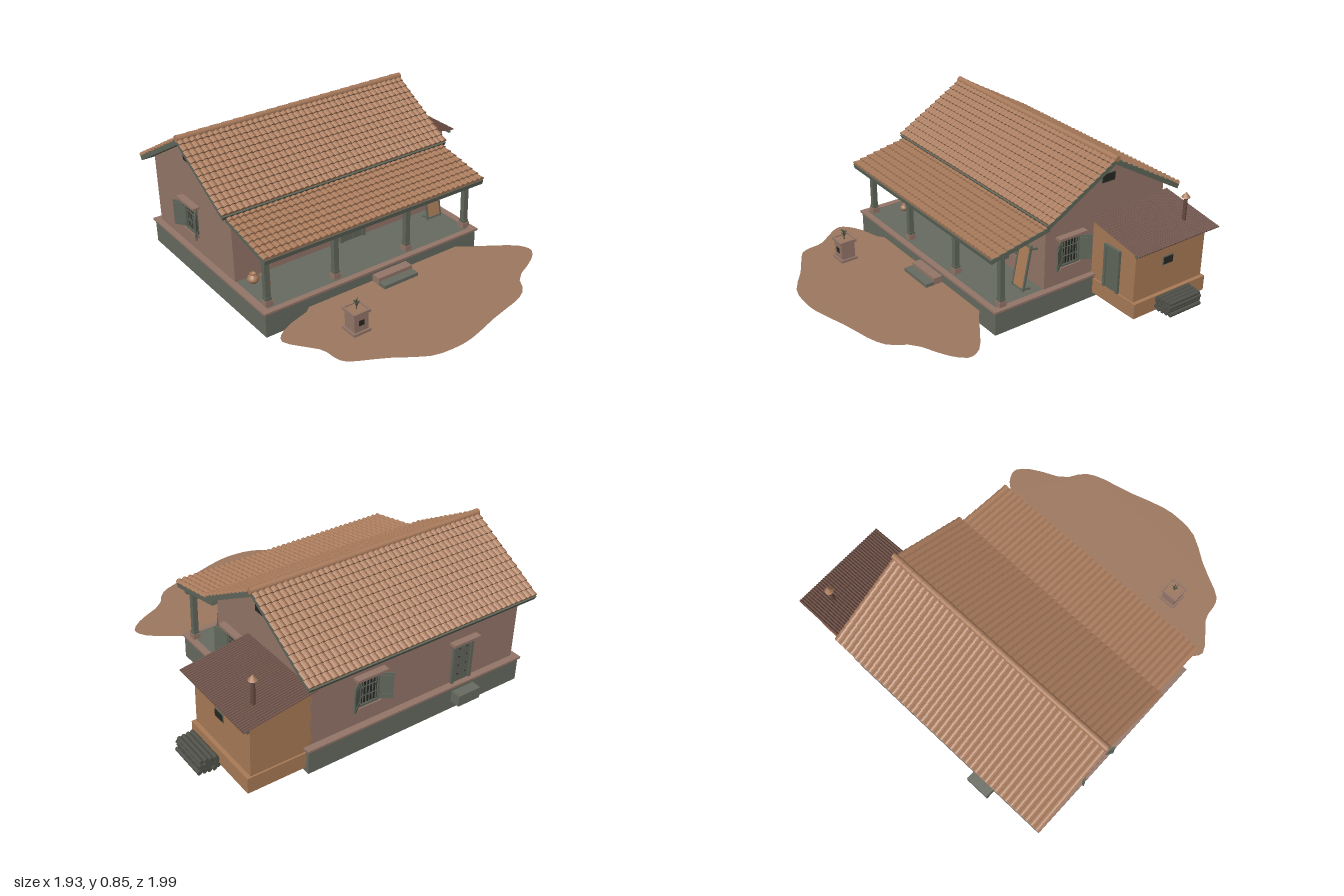
import * as THREE from 'three';

const V = (x, y, z) => new THREE.Vector3(x, y, z);
const material = (name, color, side = THREE.FrontSide) => {
  const m = new THREE.MeshStandardMaterial({ color, side });
  m.name = name;
  return m;
};

export function createModel() {
  const clay = material('clay plaster', 0x937568);
  const ochre = material('ochre plaster', 0xa87a56);
  const stone = material('grey stone', 0x666a5f);
  const wood = material('weathered wood', 0x60665a);
  const tile = material('terracotta', 0xa87a5b, THREE.DoubleSide);
  const earth = material('bare earth', 0x9c775e, THREE.DoubleSide);
  const iron = material('dark iron', 0x262723);
  const sheetMetal = material('rusted sheet', 0x66493f, THREE.DoubleSide);
  const bark = material('firewood bark', 0x50524a);
  const leaf = material('leaf', 0x4b5440, THREE.DoubleSide);

  const model = new THREE.Group();
  const add = (name, geo, mat, parent = model) => {
    const m = new THREE.Mesh(geo, mat);
    m.name = name;
    parent.add(m);
    return m;
  };
  const group = (name, x = 0, y = 0, z = 0, ry = 0) => {
    const g = new THREE.Group();
    g.name = name;
    g.position.set(x, y, z);
    g.rotation.y = ry;
    model.add(g);
    return g;
  };
  // Box given by its min and max on each axis
  const box = (name, x0, x1, y0, y1, z0, z1, mat, parent) => {
    const m = add(name, new THREE.BoxGeometry(x1 - x0, y1 - y0, z1 - z0), mat, parent);
    m.position.set((x0 + x1) / 2, (y0 + y1) / 2, (z0 + z1) / 2);
    return m;
  };
  // Square bar between two points
  const bar = (name, a, b, t, mat, parent) => {
    const m = add(name, new THREE.BoxGeometry(t, a.distanceTo(b), t), mat, parent);
    m.position.copy(a).lerp(b, 0.5);
    m.quaternion.setFromUnitVectors(V(0, 1, 0), b.clone().sub(a).normalize());
    return m;
  };
  // Ribbed sheet in overlapping courses
  const ribbed = (name, origin, across, down, cols, rows, amp, lift, seg, mat) => {
    const n = across.clone().cross(down).normalize();
    const flip = n.y < 0;
    if (flip) n.negate();
    const pos = [], idx = [], w = cols * seg + 1;
    for (let r = 0; r <= 2 * rows; r++) {
      const last = r === 2 * rows;
      const t = Math.ceil(r / 2) / rows;
      for (let i = 0; i < w; i++) {
        const wave = amp * Math.abs(Math.sin((i / seg) * Math.PI));
        const h = last ? 0 : wave + (r % 2 ? lift : 0);
        const p = origin.clone().addScaledVector(across, i / (w - 1)).addScaledVector(down, t).addScaledVector(n, h);
        pos.push(p.x, p.y, p.z);
        if (r && i) {
          const d = r * w + i, c = d - 1, b = d - w, a = b - 1;
          if (flip) idx.push(a, c, b, b, c, d);
          else idx.push(a, b, c, b, d, c);
        }
      }
    }
    let g = new THREE.BufferGeometry();
    g.setAttribute('position', new THREE.Float32BufferAttribute(pos, 3));
    g.setIndex(idx);
    g = g.toNonIndexed();
    g.computeVertexNormals();
    add(name, g, mat);
  };

  // Plinth, floor and coping
  box('plinth', -0.935, 0.465, 0, 0.14, -0.94, 0.27, stone);
  box('floor', -0.91, 0.44, 0.14, 0.147, -0.91, 0.245, stone);
  box('frontCoping', -0.945, 0.475, 0.138, 0.15, 0.245, 0.28, clay);
  box('backCoping', -0.945, 0.475, 0.138, 0.15, -0.95, -0.9, clay);
  for (const x of [-0.945, 0.435]) box('sideCoping', x, x + 0.04, 0.138, 0.15, -0.9, 0.245, clay);

  // House walls with gables, profile runs across z
  const profile = new THREE.Shape([[0.07, 0.147], [0.91, 0.147], [0.91, 0.56], [0.49, 0.805], [0.07, 0.56]].map(p => new THREE.Vector2(...p)));
  const walls = add('walls', new THREE.ExtrudeGeometry(profile, { depth: 1.35, bevelEnabled: false }), clay);
  walls.rotation.y = Math.PI / 2;
  walls.position.x = -0.91;

  // Tiled roofs: each slope has a timber deck under the tiles
  const slope = (name, x0, x1, zt, yt, ze, ye, cols, rows) => {
    const dz = ze - zt, dy = ye - yt, s = Math.sign(dz), len = Math.hypot(dz, dy);
    const deck = add(name + 'Deck', new THREE.BoxGeometry(x1 - x0 - 0.01, 0.026, len), wood);
    deck.position.set((x0 + x1) / 2, (yt + ye) / 2 - 0.016, (zt + ze) / 2);
    deck.rotation.x = -Math.atan2(dy * s, dz * s);
    ribbed(name + 'Tiles', V(x0, yt, zt), V(x1 - x0, 0, 0), V(0, dy, dz), cols, rows, 0.01, 0.01, 4, tile);
  };
  slope('frontRoof', -0.97, 0.5, -0.49, 0.83, -0.045, 0.572, 42, 12);
  slope('backRoof', -0.97, 0.5, -0.49, 0.83, -0.975, 0.55, 42, 12);
  slope('porchRoof', -0.945, 0.48, -0.07, 0.55, 0.305, 0.476, 41, 8);
  for (let i = 0; i < 21; i++) {
    const cap = add('ridgeTile', new THREE.CylinderGeometry(0.02, 0.017, 0.072, 12), tile);
    cap.rotation.z = Math.PI / 2;
    cap.position.set(-0.934 + i * 0.0702, 0.834, -0.49);
  }

  // Porch posts, braces and beam
  box('porchBeam', -0.93, 0.475, 0.452, 0.476, 0.195, 0.225, wood);
  const postX = [-0.885, -0.465, 0.01, 0.43];
  postX.forEach((x, i) => {
    const g = group('porchPost', x, 0, 0.21);
    box('post', -0.015, 0.015, 0.15, 0.455, -0.015, 0.015, wood, g);
    box('postBase', -0.022, 0.022, 0.148, 0.18, -0.022, 0.022, clay, g);
    box('postCollar', -0.018, 0.018, 0.18, 0.195, -0.018, 0.018, wood, g);
    box('capital', -0.025, 0.025, 0.438, 0.454, -0.02, 0.02, wood, g);
    for (const s of [-1, 1]) {
      if ((i === 0 && s < 0) || (i === 3 && s > 0)) continue;
      bar('brace', V(0, 0.385, 0), V(s * 0.07, 0.455, 0), 0.014, wood, g);
    }
    bar('rafter', V(0, 0.462, 0.08), V(0, 0.527, -0.28), 0.016, wood, g);
  });

  // Windows with bars, lintel, sill and open shutters
  const windowAt = (x, z, ry) => {
    const g = group('window', x, 0.345, z, ry);
    box('darkOpening', -0.055, 0.055, -0.075, 0.075, 0, 0.005, iron, g);
    for (const s of [-1, 1]) {
      box('jamb', s * 0.058 - 0.006, s * 0.058 + 0.006, -0.08, 0.08, 0, 0.014, wood, g);
      box('rail', -0.06, 0.06, s * 0.078 - 0.006, s * 0.078 + 0.006, 0, 0.014, wood, g);
      const hinge = new THREE.Group();
      hinge.name = 'shutter';
      hinge.position.set(s * 0.06, 0, 0.008);
      hinge.rotation.y = -s * 0.6;
      g.add(hinge);
      const a = Math.min(0, s * 0.074), b = Math.max(0, s * 0.074);
      box('shutterLeaf', a, b, -0.076, 0.076, -0.004, 0.004, wood, hinge);
      for (const y of [-0.055, 0.055]) box('shutterBatten', a + 0.006, b - 0.006, y - 0.007, y + 0.007, -0.007, 0.007, wood, hinge);
    }
    for (let i = -2; i <= 2; i++) box('windowBar', i * 0.02 - 0.0025, i * 0.02 + 0.0025, -0.075, 0.075, 0.008, 0.012, wood, g);
    for (const y of [-0.025, 0.03]) box('crossBar', -0.055, 0.055, y - 0.002, y + 0.002, 0.006, 0.01, wood, g);
    box('lintel', -0.095, 0.095, 0.09, 0.105, -0.005, 0.04, clay, g);
    box('sill', -0.07, 0.07, -0.096, -0.084, -0.005, 0.022, clay, g);
  };
  windowAt(-0.67, -0.07, 0);
  windowAt(0.205, -0.07, 0);
  windowAt(0.44, -0.235, Math.PI / 2);
  windowAt(-0.91, -0.5, -Math.PI / 2);
  windowAt(0.09, -0.91, Math.PI);

  // Plank doors
  const doorAt = (name, x, y, z, ry, w, h, leaves, lintel) => {
    const g = group(name, x, y, z, ry), lw = (w - 0.016) / leaves;
    for (const s of [-1, 1]) box('doorJamb', s * w / 2 - 0.008, s * w / 2 + 0.008, 0, h, 0, 0.016, wood, g);
    box('doorHead', -w / 2 - 0.008, w / 2 + 0.008, h - 0.014, h, 0, 0.017, wood, g);
    for (let i = 0; i < leaves; i++) {
      const x0 = -w / 2 + 0.008 + i * lw;
      box('doorLeaf', x0 + 0.001, x0 + lw - 0.001, 0, h - 0.014, 0, 0.009, wood, g);
      if (lintel) for (const fy of [0.2, 0.42, 0.64, 0.84]) for (const fx of [0.25, 0.75]) {
        box('doorStud', x0 + lw * fx - 0.003, x0 + lw * fx + 0.003, h * fy - 0.003, h * fy + 0.003, 0.009, 0.013, iron, g);
      }
    }
    if (lintel) box('doorLintel', -w / 2 - 0.03, w / 2 + 0.03, h, h + 0.015, -0.005, 0.04, clay, g);
  };
  doorAt('frontDoor', -0.157, 0.147, -0.07, 0, 0.15, 0.3, 2, true);
  doorAt('backDoor', -0.53, 0.147, -0.91, Math.PI, 0.12, 0.25, 1, true);
  doorAt('shedDoor', 0.608, 0.12, -0.405, 0, 0.105, 0.262, 1, false);

  // Small vents in the gables, front wall and shed
  const ventAt = (x, y, z, ry, w, h) => {
    const g = group('vent', x, y, z, ry);
    box('ventFrame', -w / 2 - 0.006, w / 2 + 0.006, -h / 2 - 0.006, h / 2 + 0.006, 0, 0.004, wood, g);
    box('ventOpening', -w / 2, w / 2, -h / 2, h / 2, 0, 0.008, iron, g);
  };
  ventAt(0.44, 0.707, -0.49, Math.PI / 2, 0.085, 0.045);
  ventAt(-0.91, 0.707, -0.49, -Math.PI / 2, 0.085, 0.045);
  ventAt(-0.288, 0.346, -0.07, 0, 0.055, 0.022);
  ventAt(0.78, 0.31, -0.64, Math.PI / 2, 0.064, 0.04);

  // Steps
  box('upperStep', -0.265, -0.04, 0.05, 0.12, 0.26, 0.325, clay);
  box('lowerStep', -0.265, -0.04, 0.04, 0.1, 0.325, 0.378, stone);
  box('backStep', -0.605, -0.457, 0.05, 0.115, -1, -0.935, stone);

  // Lean-to shed, sheet roof and chimney
  const shed = new THREE.Shape([[0.43, 0.03], [0.78, 0.03], [0.78, 0.434], [0.43, 0.492]].map(p => new THREE.Vector2(...p)));
  add('shedWalls', new THREE.ExtrudeGeometry(shed, { depth: 0.505, bevelEnabled: false }), ochre).position.z = -0.91;
  box('shedBase', 0.44, 0.803, 0.03, 0.12, -0.92, -0.395, ochre);
  ribbed('shedRoof', V(0.43, 0.5, -0.955), V(0, 0, 0.59), V(0.41, -0.067, 0), 38, 1, 0.008, 0, 4, sheetMetal);
  box('shedEaveBatten', 0.805, 0.82, 0.418, 0.432, -0.95, -0.37, wood);
  add('chimneyPipe', new THREE.CylinderGeometry(0.011, 0.011, 0.17, 12), sheetMetal).position.set(0.702, 0.52, -0.82);
  add('chimneyCap', new THREE.ConeGeometry(0.025, 0.032, 12), tile).position.set(0.702, 0.612, -0.82);

  // Firewood stack
  [5, 4, 5, 4].forEach((n, r) => {
    for (let i = 0; i < n; i++) {
      const log = add('log', new THREE.CylinderGeometry(0.0125, 0.0125, 0.22 + ((i * 3 + r) % 4) * 0.006, 8), bark);
      log.rotation.x = Math.PI / 2;
      log.position.set(0.9 + (i - (n - 1) / 2) * (r === 2 ? 0.022 : 0.026), 0.092 + r * 0.0195, -0.62);
    }
  });

  // Earth yard
  const yard = [[0.357, 0.3], [0.57, 0.44], [0.632, 0.51], [0.632, 0.57], [0.55, 0.64], [0.39, 0.72], [0.315, 0.823], [0.214, 0.875],
    [0.03, 0.918], [-0.18, 0.98], [-0.315, 0.99], [-0.447, 0.965], [-0.605, 0.86], [-0.765, 0.775], [-0.81, 0.72],
    [-0.825, 0.62], [-0.875, 0.55], [-0.945, 0.45], [-0.92, 0.39], [-0.84, 0.34], [-0.71, 0.3]].map(p => new THREE.Vector2(p[0], -p[1]));
  const yardShape = new THREE.Shape();
  yardShape.moveTo(0.3, -0.25);
  yardShape.lineTo(yard[0].x, yard[0].y);
  yardShape.splineThru(yard.slice(1));
  yardShape.lineTo(-0.65, -0.25);
  const ground = add('yard', new THREE.ShapeGeometry(yardShape, 2), earth);
  ground.rotation.x = -Math.PI / 2;
  ground.position.y = 0.08;

  // Planter pedestal with a small herb
  const planter = group('planter', -0.595, 0, 0.578);
  box('planterBase', -0.052, 0.052, 0.073, 0.095, -0.052, 0.052, clay, planter);
  box('planterBody', -0.042, 0.042, 0.095, 0.195, -0.042, 0.042, clay, planter);
  box('planterSoil', -0.042, 0.042, 0.195, 0.204, -0.042, 0.042, earth, planter);
  for (const s of [-1, 1]) {
    box('planterRim', -0.052, 0.052, 0.195, 0.21, s * 0.047 - 0.005, s * 0.047 + 0.005, clay, planter);
    box('planterRim', s * 0.047 - 0.005, s * 0.047 + 0.005, 0.195, 0.21, -0.042, 0.042, clay, planter);
  }
  box('planterNiche', -0.015, 0.015, 0.13, 0.16, 0.042, 0.045, iron, planter);
  bar('herbStem', V(0, 0.2, 0), V(0.002, 0.25, 0), 0.005, leaf, planter);
  for (let i = 0; i < 7; i++) {
    const a = i * 2.4, y = 0.222 + i * 0.005;
    const l = add('herbLeaf', new THREE.ConeGeometry(0.006, 0.028, 4), leaf, planter);
    const d = V(Math.cos(a), 1, Math.sin(a)).normalize();
    l.quaternion.setFromUnitVectors(V(0, 1, 0), d);
    l.position.set(0, y, 0).addScaledVector(d, 0.014);
  }

  // Water pots on the porch
  const potProfile = [[0, 0], [0.5, 0], [0.9, 0.4], [1, 0.8], [0.85, 1.25], [0.45, 1.55], [0.45, 1.7], [0.62, 1.85], [0.4, 1.8], [0, 1.5]];
  for (const [x, z, r] of [[-0.835, -0.01, 0.032], [-0.795, 0.055, 0.024], [-0.76, -0.012, 0.027]]) {
    add('waterPot', new THREE.LatheGeometry(potProfile.map(p => new THREE.Vector2(p[0] * r, p[1] * r)), 20), tile).position.set(x, 0.147, z);
  }

  // Woven cot leaning upright on the porch
  const cot = group('leaningCot', 0.352, 0.155, 0.04);
  cot.rotation.x = -0.19;
  box('cotWeave', -0.045, 0.045, 0.01, 0.258, -0.003, 0.003, ochre, cot);
  for (const s of [-1, 1]) {
    box('cotSideRail', s * 0.046 - 0.005, s * 0.046 + 0.005, 0, 0.27, -0.006, 0.006, wood, cot);
    const y = s < 0 ? 0.008 : 0.26;
    box('cotEndRail', -0.045, 0.045, y - 0.005, y + 0.005, -0.006, 0.006, wood, cot);
    for (const ly of [0.015, 0.25]) box('cotLeg', s * 0.046 - 0.005, s * 0.046 + 0.005, ly - 0.005, ly + 0.005, -0.045, 0.01, wood, cot);
  }

  return model;
}
